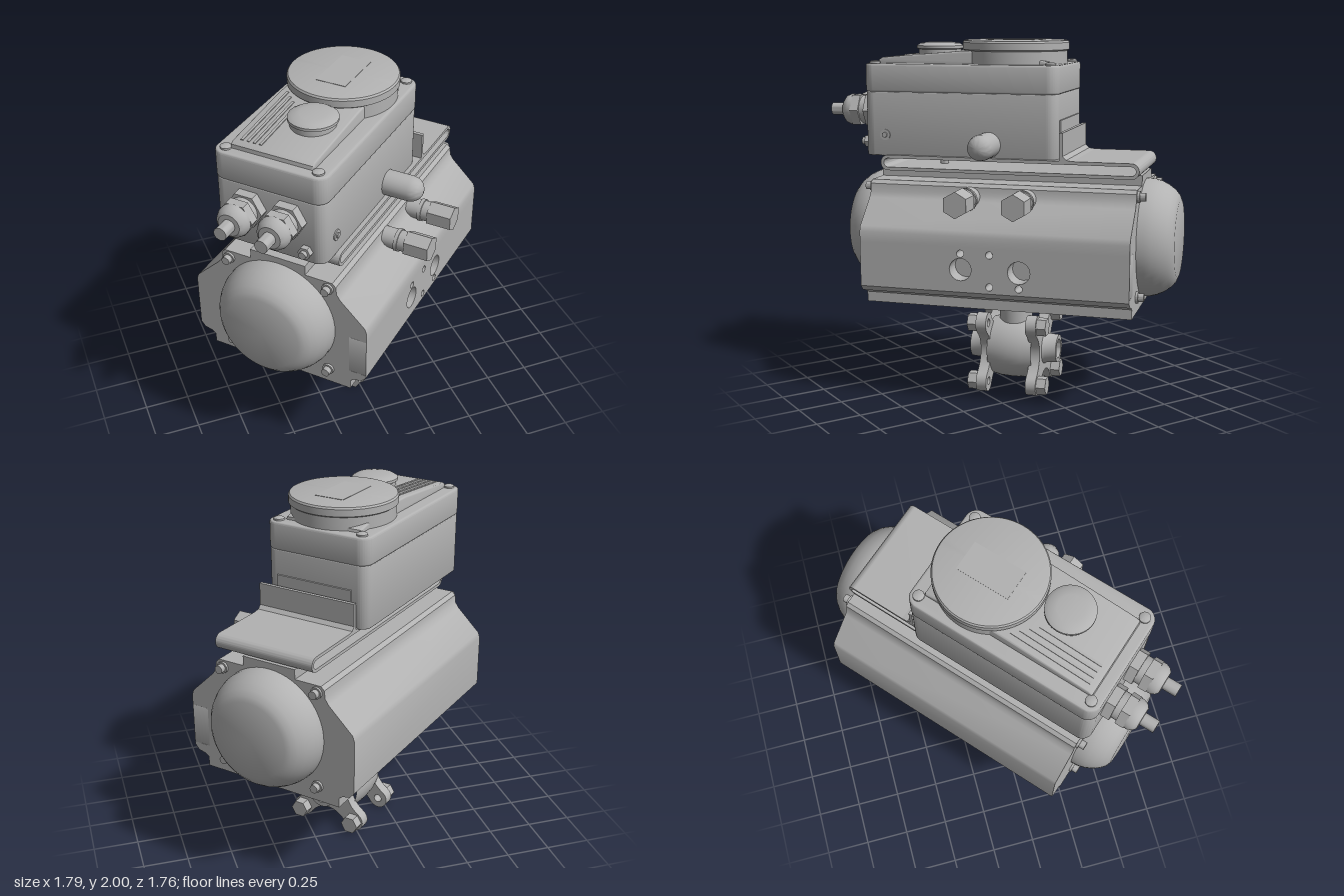
import * as THREE from 'three';
import { toCreasedNormals } from 'three/addons/utils/BufferGeometryUtils.js';

// The whole valve is built along its own long axis (local x), then turned about y.
export function createModel() {
  const root = new THREE.Group();
  root.name = 'actuatedValve';
  const unit = new THREE.Group();
  unit.name = 'turnedAssembly';
  unit.rotation.y = THREE.MathUtils.degToRad(42);
  root.add(unit);

  const grey = new THREE.MeshStandardMaterial({ color: 0xb2b2b2 });
  grey.name = 'metal grey';

  const X = new THREE.Vector3(1, 0, 0), NX = new THREE.Vector3(-1, 0, 0);
  const Y = new THREE.Vector3(0, 1, 0), Z = new THREE.Vector3(0, 0, 1);

  function add(name, geo, x = 0, y = 0, z = 0) {
    const m = new THREE.Mesh(toCreasedNormals(geo, 0.6), grey);
    m.name = name;
    m.position.set(x, y, z);
    unit.add(m);
    return m;
  }
  // Turned part: profile of [radius, height] starting at a base point, along dir
  function turned(name, profile, base, dir = Y, seg = 40) {
    const pts = profile.map(([r, h]) => new THREE.Vector2(r, h));
    const m = add(name, new THREE.LatheGeometry(pts, seg), ...base);
    m.quaternion.setFromUnitVectors(Y, dir);
    return m;
  }
  const rod = (name, r, len, base, dir, seg = 24) =>
    turned(name, [[0, 0], [r, 0], [r, len], [0, len]], base, dir, seg);
  const box = (name, w, h, d, x, y, z) => add(name, new THREE.BoxGeometry(w, h, d), x, y, z);

  function polygon(pts) {
    return new THREE.Shape(pts.map(([x, y]) => new THREE.Vector2(x, y)));
  }
  function roundRect(x0, y0, x1, y1, r, Type = THREE.Shape) {
    const s = new Type();
    s.absarc(x1 - r, y0 + r, r, -Math.PI / 2, 0);
    s.absarc(x1 - r, y1 - r, r, 0, Math.PI / 2);
    s.absarc(x0 + r, y1 - r, r, Math.PI / 2, Math.PI);
    s.absarc(x0 + r, y0 + r, r, Math.PI, Math.PI * 1.5);
    s.closePath();
    return s;
  }
  function circleHole(shape, x, y, r) {
    shape.holes.push(new THREE.Path().absarc(x, y, r, 0, Math.PI * 2));
  }
  const extrude = (shape, depth, bevel = 0) => new THREE.ExtrudeGeometry(shape, {
    depth: depth - 2 * bevel, curveSegments: 8, bevelEnabled: bevel > 0,
    bevelSize: bevel, bevelThickness: bevel, bevelOffset: -bevel, bevelSegments: 3,
  }).translate(0, 0, bevel);
  const alongX = (shape, depth) => extrude(shape, depth).rotateY(Math.PI / 2);
  const upward = (shape, depth, bevel) => extrude(shape, depth, bevel).rotateX(-Math.PI / 2);

  // Actuator body: shape x runs towards the back; the front has a pocket for the port plate
  const half = [[0.42, 0.555], [0.42, 0.61], [0.44, 0.625], [0.485, 0.635], [0.51, 0.665]];
  const upper = [[0.51, 0.97], [0.50, 1.0], [0.36, 1.135], [0.34, 1.165], [0.335, 1.21], [0.315, 1.23]];
  const pocket = [[0.51, 0.68], [0.41, 0.68], [0.41, 0.91], [0.51, 0.91]];
  const frontSide = [...half, ...pocket, ...upper].map(([v, y]) => [-v, y]);
  add('actuatorBody', alongX(polygon([...half, ...upper, ...frontSide.reverse()]), 1.494), -0.747);

  // Port plate with air ports and mounting holes
  const ports = roundRect(-0.747, 0.68, 0.747, 0.91, 0.001);
  for (const x of [-0.17, 0.155]) circleHole(ports, x, 0.79, 0.062);
  for (const [x, y] of [[-0.17, 0.877], [-0.008, 0.877], [-0.008, 0.702], [0.155, 0.702]]) circleHole(ports, x, y, 0.02);
  add('portPlate', extrude(ports, 0.1), 0, 0, 0.41);

  // Domed end caps with corner screws
  for (const [s, dir] of [[-1, NX], [1, X]]) {
    turned('endCap', [[0.33, 0], [0.328, 0.04], [0.317, 0.08], [0.298, 0.12], [0.272, 0.155],
      [0.245, 0.178], [0.215, 0.19], [0, 0.192]], [s * 0.745, 0.92, 0], dir, 56);
    for (const y of [0.645, 1.19]) for (const z of [-0.29, 0.29]) {
      rod('endCapWasher', 0.032, 0.015, [s * 0.745, y, z], dir, 20);
      rod('endCapScrew', 0.023, 0.045, [s * 0.745, y, z], dir, 16);
    }
  }

  // Hex air fittings
  for (const x of [-0.165, 0.15]) {
    rod('fittingNeck', 0.057, 0.2, [x, 1.155, 0.28], Z);
    rod('fittingCollar', 0.064, 0.02, [x, 1.155, 0.41], Z);
    rod('fittingHex', 0.072, 0.14, [x, 1.155, 0.47], Z, 6);
  }

  // Top rail and folded mounting bracket
  box('topRail', 1.494, 0.055, 0.32, 0, 1.2575, 0);
  const fold = roundRect(-0.69, 1.285, 0.757, 1.37, 0.042);
  fold.holes.push(roundRect(-0.672, 1.303, 0.739, 1.352, 0.024, THREE.Path));
  add('foldedBracket', extrude(fold, 0.595), 0, 0, -0.27);
  const lip = polygon([[0.325, 1.355], [0.40, 1.355], [0.40, 1.37], [0.365, 1.375], [0.345, 1.395], [0.345, 1.52], [0.325, 1.52]]);
  add('bracketUpstand', extrude(lip, 0.595), 0, 0, -0.27);
  rod('underScrew', 0.045, 0.03, [-0.4, 1.325, 0.08]);
  rod('underScrewShank', 0.025, 0.08, [-0.4, 1.295, 0.08]);

  // Control housing and lid
  add('housing', upward(roundRect(-0.795, -0.3, 0.305, 0.32, 0.06), 0.355, 0.006), 0, 1.363, 0);
  add('housingLid', upward(roundRect(-0.798, -0.303, 0.308, 0.323, 0.065), 0.155, 0.012), 0, 1.715, 0);
  for (const x of [-0.744, 0.258]) for (const z of [-0.265, 0.245])
    turned('lidScrew', [[0.03, 0], [0.03, 0.012], [0.02, 0.018], [0, 0.018]], [x, 1.867, z], Y, 20);
  const hump = polygon([[-0.74, 1.86], [0.24, 1.86], [0.235, 1.885], [0.1, 1.92], [-0.1, 1.94], [-0.25, 1.94], [-0.715, 1.902], [-0.735, 1.89]]);
  add('lidPlateau', extrude(hump, 0.46, 0.01), 0, 0, -0.245);

  // Raised ribs on the sloping part of the lid
  for (let i = 0; i < 4; i++) {
    const len = 0.46 - i * 0.035;
    const rib = box('lidRib', len, 0.006, 0.014, -0.70 + len / 2, 1.9045 + len * 0.041, -0.2 + i * 0.035);
    rib.rotation.z = 0.0815;
  }

  // Round display and push button
  turned('displayDrum', [[0.287, 1.86], [0.287, 1.94], [0.297, 1.947], [0.297, 1.985], [0.29, 1.995],
    [0.28, 1.998], [0, 1.998]], [0, 0, 0], Y, 64);
  box('displayWindow', 0.3, 0.004, 0.17, 0, 1.998, 0);
  turned('pushButton', [[0.12, 1.91], [0.12, 1.945], [0.13, 1.95], [0.13, 1.965], [0.11, 1.978], [0.07, 1.984],
    [0, 1.986]], [-0.429, 0, 0.05], Y, 48);

  // Cable glands with cables
  for (const z of [-0.12, 0.105]) {
    rod('glandBase', 0.1, 0.055, [-0.79, 1.6, z], NX, 6);
    rod('glandThread', 0.078, 0.06, [-0.84, 1.6, z], NX);
    rod('glandNut', 0.097, 0.05, [-0.878, 1.6, z], NX, 6);
    turned('glandCap', [[0.088, 0], [0.088, 0.02], [0.078, 0.045], [0.06, 0.06], [0, 0.062]], [-0.925, 1.6, z], NX);
    rod('cable', 0.035, 0.09, [-0.975, 1.6, z], NX);
  }

  // Breather plug, housing screws and terminal plate
  const bend = [0, 0.25, 0.5, 0.75, 1].map(t => [0.07 * Math.cos(t * Math.PI / 2), 0.15 + 0.07 * Math.sin(t * Math.PI / 2)]);
  turned('breather', [[0.07, 0], ...bend], [-0.075, 1.44, 0.29], Z);
  rod('housingScrew', 0.03, 0.012, [-0.67, 1.48, 0.295], Z, 20);
  rod('housingScrewHead', 0.016, 0.02, [-0.67, 1.48, 0.295], Z, 6);
  rod('groundBolt', 0.036, 0.035, [-0.79, 1.43, 0.2], NX, 6);
  rod('groundBoltEnd', 0.02, 0.055, [-0.79, 1.43, 0.2], NX, 16);
  box('terminalPlate', 0.012, 0.075, 0.46, 0.308, 1.54, 0);

  // Valve neck and barrel
  rod('neckFlange', 0.16, 0.035, [0, 0.522, 0], Y, 48);
  rod('valveNeck', 0.095, 0.2, [0, 0.33, 0], Y, 36);
  turned('valveBarrel', [[0.165, -0.13], [0.178, -0.07], [0.182, 0], [0.178, 0.07], [0.165, 0.13]], [0, 0.235, 0], X, 48);

  // Four-lobed valve flange with rounded ears and curved waists
  const lobe = 0.172, earR = 0.06;
  const flange = new THREE.Shape();
  for (let i = 0; i < 4; i++) {
    const a = Math.PI / 4 + i * Math.PI / 2, d = lobe * Math.SQRT2;
    const cx = d * Math.cos(a), cy = d * Math.sin(a);
    flange.absarc(cx, cy, earR, a - 1.75, a + 1.75);
    const mid = a + Math.PI / 4, w = 0.13, q = a + Math.PI / 2, e = q - 1.75;
    flange.quadraticCurveTo(w * Math.cos(mid) + 0.07 * Math.sin(mid), w * Math.sin(mid) - 0.07 * Math.cos(mid),
      w * Math.cos(mid), w * Math.sin(mid));
    flange.quadraticCurveTo(w * Math.cos(mid) - 0.07 * Math.sin(mid), w * Math.sin(mid) + 0.07 * Math.cos(mid),
      d * Math.cos(q) + earR * Math.cos(e), d * Math.sin(q) + earR * Math.sin(e));
    circleHole(flange, cx, cy, 0.024);
  }
  for (const [s, dir] of [[-1, NX], [1, X]]) {
    add('valveFlange', alongX(flange, 0.06), s * 0.145 - 0.03, 0.235, 0);
    turned('pipeStub', [[0.095, 0], [0.085, 0.02], [0.08, 0.085], [0.055, 0.085], [0.055, 0.005], [0, 0.005]],
      [s * 0.17, 0.235, 0], dir, 36);
    for (const y of [-lobe, lobe]) for (const z of [-lobe, lobe])
      rod('flangeBolt', 0.053, 0.055, [s * 0.174, 0.235 + y, z], dir, 6);
  }
  return root;
}
